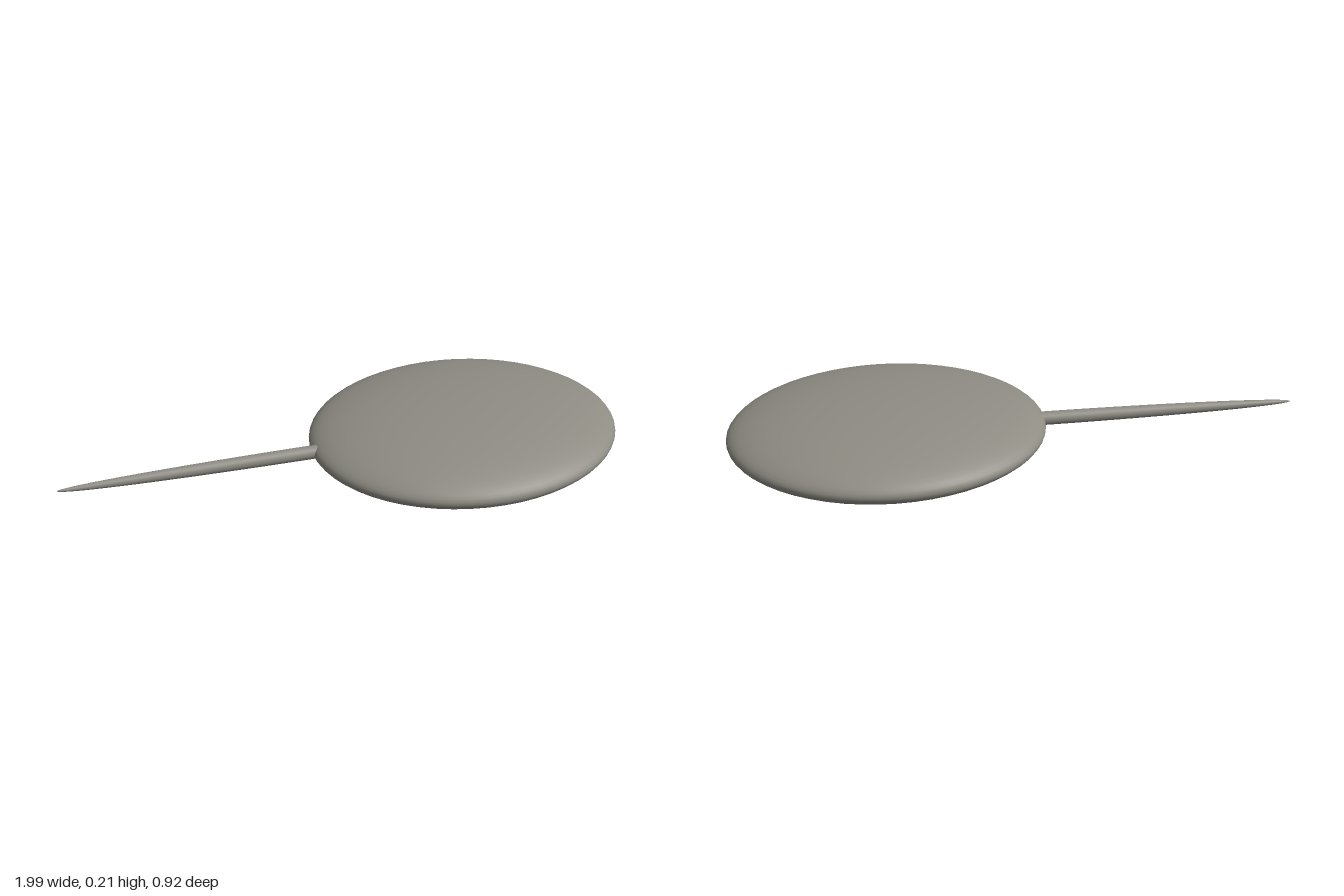
import * as THREE from 'three';

export function createModel() {
  const group = new THREE.Group();
  const stone = new THREE.MeshStandardMaterial({ color: 0x8e8c83 });
  stone.name = 'warm grey';
  const midY = 0.105;

  // Flattened oval disc
  const discGeometry = new THREE.SphereGeometry(1, 56, 36);
  discGeometry.scale(0.553, 0.104, 0.46);
  const disc = new THREE.Mesh(discGeometry, stone);
  disc.name = 'disc';
  disc.position.set(0.442, midY, 0);
  group.add(disc);

  // Slender tail: an elliptical taper from the tip to a blunt root in the rim
  const length = 0.91, radius = 0.024, steps = 20;
  const profile = [];
  for (let i = 0; i <= steps; i++) {
    const a = (i / steps) * Math.PI / 2;
    profile.push(new THREE.Vector2(radius * Math.sin(a), length * (1 - Math.cos(a))));
  }
  const tailGeometry = new THREE.LatheGeometry(profile, 24);
  tailGeometry.rotateZ(-Math.PI / 2);
  const tail = new THREE.Mesh(tailGeometry, stone);
  tail.name = 'tail';
  tail.position.set(-1, midY + 0.002, 0);
  group.add(tail);

  // Flat cap closing the tail root
  const root = new THREE.Mesh(new THREE.CircleGeometry(radius, 24), stone);
  root.name = 'tailRoot';
  root.rotation.y = Math.PI / 2;
  root.position.set(-1 + length, midY + 0.002, 0);
  group.add(root);

  return group;
}
